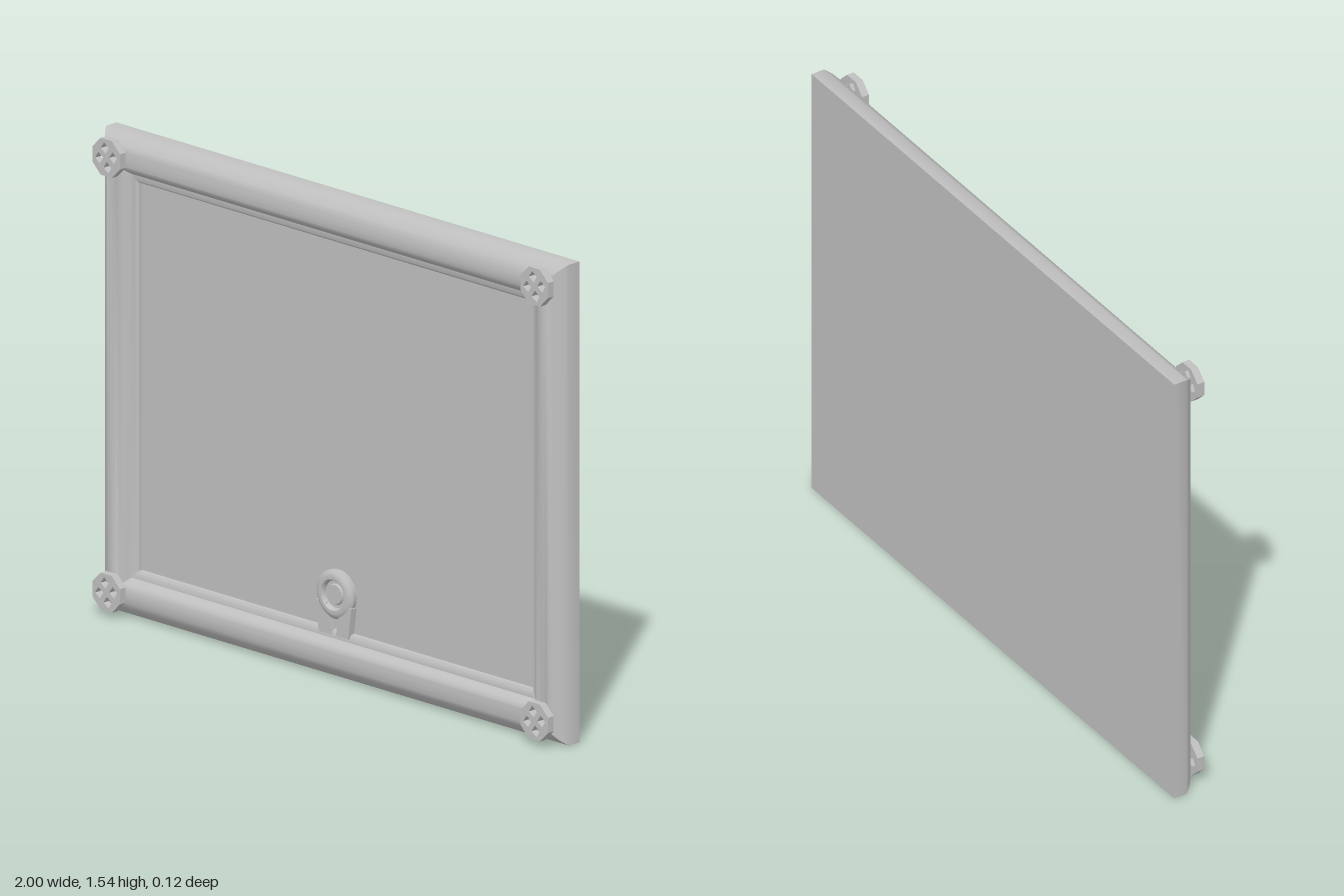
import * as THREE from 'three';
import { toCreasedNormals } from 'three/addons/utils/BufferGeometryUtils.js';

const W = 1, H = 1.545;
const grey = new THREE.MeshStandardMaterial({ color: 0xbfbfbf });
grey.name = 'grey';

function add(parent, name, geometry, x = 0, y = 0, z = 0) {
  const mesh = new THREE.Mesh(geometry, grey);
  mesh.name = name;
  mesh.position.set(x, y, z);
  parent.add(mesh);
  return mesh;
}

// Mitred moulding: [inset, z] profile swept round the four corners
function frameGeometry() {
  const profile = [
    [0.15, -0.06], [0, -0.06], [0, -0.015], [0.007, -0.004], [0.018, 0.009], [0.032, 0.021],
    [0.048, 0.03], [0.065, 0.035], [0.08, 0.035], [0.095, 0.031], [0.108, 0.022],
    [0.118, 0.008], [0.124, 0.0], [0.142, -0.003], [0.148, -0.008], [0.15, -0.022],
  ];
  const corners = [[-1, -1], [1, -1], [1, 1], [-1, 1]];
  const point = (k, j) => {
    const [sx, sy] = corners[k % 4], [inset, z] = profile[j];
    return [sx * (W - inset), H / 2 + sy * (H / 2 - inset), z];
  };
  const pos = [];
  for (let k = 0; k < 4; k++) {
    for (let j = 0; j < profile.length - 1; j++) {
      const a = point(k, j), b = point(k + 1, j), c = point(k + 1, j + 1), d = point(k, j + 1);
      pos.push(...a, ...b, ...c, ...a, ...c, ...d);
    }
  }
  const g = new THREE.BufferGeometry();
  g.setAttribute('position', new THREE.Float32BufferAttribute(pos, 3));
  return toCreasedNormals(g, 0.7);
}

const polygon = (n, r, cx = 0, cy = 0, turn = 0) => Array.from({ length: n }, (_, i) => {
  const a = turn + (i / n) * Math.PI * 2;
  return new THREE.Vector2(cx + r * Math.cos(a), cy + r * Math.sin(a));
});

// Octagonal rosette with four diamond openings
function rosetteGeometry() {
  const shape = new THREE.Shape(polygon(8, 0.064, 0, 0, Math.PI / 8));
  for (let i = 0; i < 4; i++) {
    const a = i * Math.PI / 2 + 0.2;
    shape.holes.push(new THREE.Path(polygon(4, 0.018, 0.031 * Math.cos(a), 0.031 * Math.sin(a), a)));
  }
  return new THREE.ExtrudeGeometry(shape, { depth: 0.025, bevelEnabled: false });
}

export function createModel() {
  const model = new THREE.Group();
  model.name = 'framedPanel';

  add(model, 'frame', frameGeometry());
  add(model, 'panel', new THREE.BoxGeometry(1.7, H - 0.3, 0.04), 0, H / 2, -0.04);

  // Corner rosettes
  const rosette = rosetteGeometry();
  for (const x of [-0.925, 0.925]) {
    for (const y of [0.078, 1.475]) add(model, 'cornerRosette', rosette, x, y, 0.036);
  }

  // Medallion with raised ring and recessed centre
  const medal = new THREE.Group();
  medal.name = 'medallion';
  medal.position.set(0, 0.265, -0.02);
  model.add(medal);
  const ring = new THREE.LatheGeometry([
    [0.078, 0], [0.079, 0.017], [0.07, 0.025], [0.06, 0.029], [0.05, 0.028],
    [0.045, 0.022], [0.044, 0.012], [0, 0.012],
  ].map(([r, z]) => new THREE.Vector2(r, z)), 20);
  ring.rotateX(Math.PI / 2);
  add(medal, 'medallionRing', toCreasedNormals(ring, 0.6));
  const boss = new THREE.CylinderGeometry(0.03, 0.034, 0.006, 20);
  boss.rotateX(Math.PI / 2);
  add(medal, 'medallionCentre', boss, 0, 0, 0.015);

  // Two ribbon tails hanging over the lower ledge
  for (const s of [-1, 1]) {
    const pts = [[0.01, -0.13], [0.064, -0.13], [0.077, -0.03], [0.03, -0.03]];
    const tail = new THREE.Shape(pts.map(([x, y]) => new THREE.Vector2(s * x, y)));
    add(medal, 'ribbonTail', new THREE.ExtrudeGeometry(tail, { depth: 0.024, bevelEnabled: false }));
  }
  return model;
}
